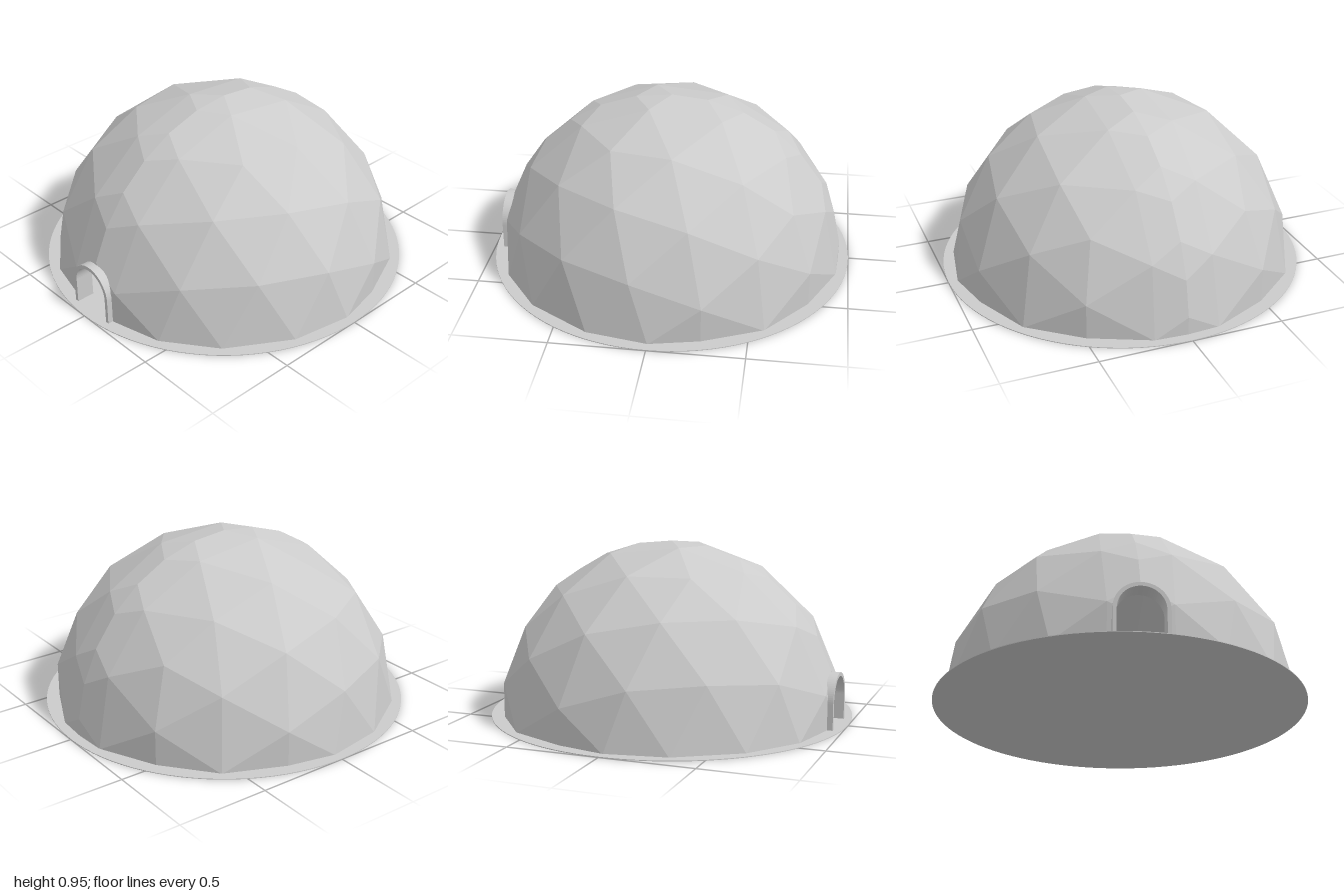
import * as THREE from 'three';

const RADIUS = 0.95;
const DOOR = { half: 0.125, spring: 0.145, frame: 0.02, back: 0.85, front: 0.95 };

// Keeps the part of a convex polygon where dist(p) >= 0; project pushes cut points onto the sphere.
function clip(poly, dist, project = false) {
  const out = [];
  poly.forEach((a, i) => {
    const b = poly[(i + 1) % poly.length];
    const da = dist(a), db = dist(b);
    if (da >= -1e-6) out.push(a);
    if ((da > 1e-6 && db < -1e-6) || (da < -1e-6 && db > 1e-6)) {
      const p = a.clone().lerp(b, da / (da - db));
      out.push(project ? p.setLength(RADIUS) : p);
    }
  });
  return out.length > 2 ? out : [];
}

// Cuts the convex arched doorway out of a polygon, returning the pieces left.
function cutDoor(poly) {
  if (poly.every((p) => p.z < 0.5)) return [poly];
  const pieces = [];
  const steps = 14;
  let inside = poly;
  for (let i = 0; i <= steps && inside.length; i++) {
    const a = (i / steps) * Math.PI;
    const dist = (p) => p.x * Math.cos(a) + (p.y - DOOR.spring) * Math.sin(a) - DOOR.half;
    const outer = clip(inside, dist);
    if (outer.length) pieces.push(outer);
    inside = clip(inside, (p) => -dist(p));
  }
  return pieces;
}

// Geodesic half shell, mirrored across x = 0 and cut at the ground.
function domeGeometry() {
  const ico = new THREE.IcosahedronGeometry(RADIUS, 2);
  ico.rotateY(-Math.atan(2 / (1 + Math.sqrt(5))));
  const src = ico.attributes.position;
  const pos = [];
  for (let i = 0; i < src.count; i += 3) {
    let face = [0, 1, 2].map((k) => new THREE.Vector3().fromBufferAttribute(src, i + k));
    face = clip(face, (p) => p.x, true);
    face = clip(face, (p) => p.y);
    if (!face.length) continue;
    for (const piece of cutDoor(face)) {
      for (let k = 1; k < piece.length - 1; k++) {
        const [a, b, c] = [piece[0], piece[k], piece[k + 1]];
        for (const p of [a, b, c]) pos.push(p.x, p.y, p.z);
        for (const p of [a, c, b]) pos.push(-p.x, p.y, p.z);
      }
    }
  }
  const geo = new THREE.BufferGeometry();
  geo.setAttribute('position', new THREE.Float32BufferAttribute(pos, 3));
  geo.computeVertexNormals();
  return geo;
}

// Arch outline standing on the ground.
function arch(path, half) {
  path.moveTo(half, 0);
  path.lineTo(half, DOOR.spring);
  path.absarc(0, DOOR.spring, half, 0, Math.PI, false);
  path.lineTo(-half, 0);
  return path;
}

function frameGeometry() {
  const outer = DOOR.half + DOOR.frame - 0.005;
  const inner = DOOR.half - 0.005;
  // one U-shaped outline, open at the threshold
  const shape = arch(new THREE.Shape(), outer);
  shape.lineTo(-inner, 0);
  shape.lineTo(-inner, DOOR.spring);
  shape.absarc(0, DOOR.spring, inner, Math.PI, 0, true);
  shape.lineTo(inner, 0);
  const geo = new THREE.ExtrudeGeometry(shape, {
    depth: DOOR.front - DOOR.back, bevelEnabled: false, curveSegments: 20,
  });
  return geo.translate(0, 0, DOOR.back);
}

export function createModel() {
  const model = new THREE.Group();
  const add = (name, geometry, options = {}) => {
    const material = new THREE.MeshStandardMaterial({ color: 0xcccccc, ...options });
    const mesh = new THREE.Mesh(geometry, material);
    mesh.name = name;
    model.add(mesh);
    return mesh;
  };

  // Thin round floor
  add('floor', new THREE.CylinderGeometry(1, 1, 0.004, 96)).position.y = 0.002;
  // Faceted shell
  add('domeShell', domeGeometry(), { flatShading: true, side: THREE.DoubleSide });
  // Arched doorway surround
  add('doorFrame', frameGeometry());
  return model;
}
